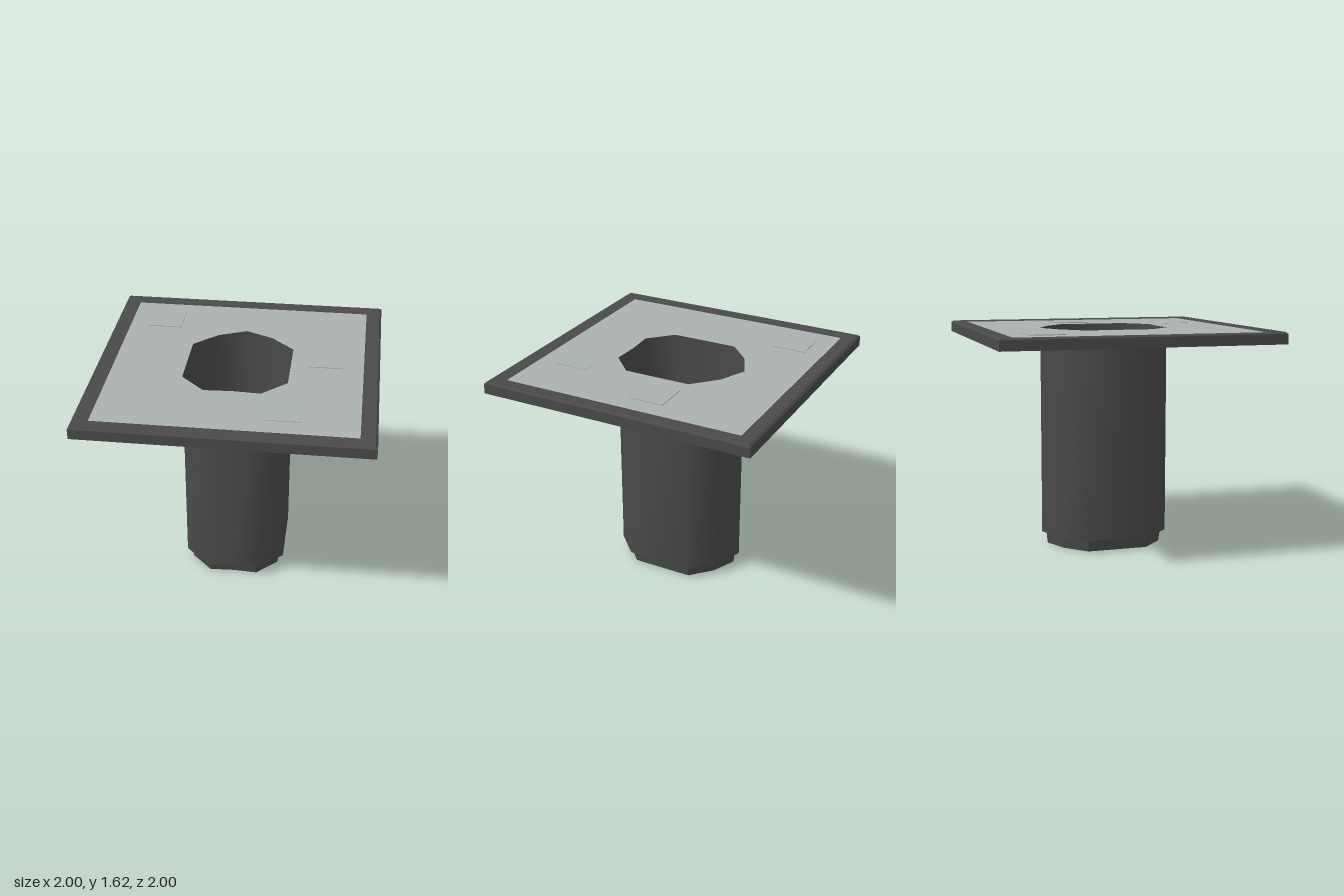
import * as THREE from 'three';
import { toCreasedNormals } from 'three/addons/utils/BufferGeometryUtils.js';

const PLATE_Y = 1.618;

// Half outline of the shaft as [x, z], from back to front
const half = [[0, -0.5], [0.2, -0.41], [0.37, -0.25], [0.37, 0.24], [0.2, 0.405]];
const mirrored = half.slice(1).reverse().map(([x, z]) => [-x, z]);
const shaftOutline = [...half, [0, 0.395], ...mirrored];
const squareOutline = [[-1, -1], [1, -1], [1, 1], [-1, 1]];

// Moves an outline towards its middle by a fixed inset
function inset(outline, d) {
  return outline.map(([x, z]) => {
    const cz = z + 0.05;
    return [x * (1 - d / 0.37), cz * (1 - d / 0.45) - 0.05];
  });
}

// Skins a list of {points, y} rings, bottom to top, without caps
function loft(rings, crease) {
  const pos = [];
  for (let r = 0; r < rings.length - 1; r++) {
    const lo = rings[r], hi = rings[r + 1], n = lo.points.length;
    for (let i = 0; i < n; i++) {
      const j = (i + 1) % n;
      const at = (ring, k) => [ring.points[k][0], ring.y, ring.points[k][1]];
      const a = at(lo, i), b = at(lo, j), c = at(hi, i), d = at(hi, j);
      pos.push(...a, ...c, ...b, ...b, ...c, ...d);
    }
  }
  const geo = new THREE.BufferGeometry();
  geo.setAttribute('position', new THREE.Float32BufferAttribute(pos, 3));
  return toCreasedNormals(geo, crease);
}

// Shallow raised square without an underside; lift gives the height at each corner
function padGeometry(size, lift) {
  const geo = new THREE.BoxGeometry(size, 1, size);
  const index = Array.from(geo.index.array);
  index.splice(18, 6);
  geo.setIndex(index);
  const p = geo.attributes.position;
  for (let i = 0; i < p.count; i++) {
    p.setY(i, p.getY(i) > 0 ? lift(p.getX(i) > 0, p.getZ(i) > 0) : 0);
  }
  const flat = geo.toNonIndexed();
  flat.computeVertexNormals();
  return flat;
}

export function createModel() {
  const model = new THREE.Group();
  const dark = new THREE.MeshStandardMaterial({ color: 0x4a4a4a, side: THREE.DoubleSide });
  dark.name = 'dark grey';
  const pale = new THREE.MeshStandardMaterial({ color: 0xaab2ae, side: THREE.DoubleSide });
  pale.name = 'pale grey green';

  const add = (name, geo, material) => {
    const mesh = new THREE.Mesh(geo, material);
    mesh.name = name;
    model.add(mesh);
    return mesh;
  };

  // Hollow shaft with smooth sides
  add('shaft', loft([
    { points: shaftOutline, y: 0.09 },
    { points: shaftOutline, y: PLATE_Y },
  ], 1.0), dark);

  // Tapered lip and the ledge joining it to the shaft
  add('lowerLip', loft([
    { points: inset(shaftOutline, 0.043), y: 0 },
    { points: inset(shaftOutline, 0.032), y: 0.085 },
    { points: shaftOutline, y: 0.09 },
  ], 0.1), dark);

  // Square frame, open underneath
  const square = (s) => squareOutline.map(([x, z]) => [x * s, z * s]);
  add('frame', loft([
    { points: square(1), y: 1.54 },
    { points: square(1), y: 1.612 },
    { points: square(0.985), y: 1.625 },
    { points: square(0.95), y: 1.623 },
    { points: square(0.887), y: PLATE_Y },
  ], 0.3), dark);

  // Pads: centre x, centre z, corner heights
  const h = 0.006;
  const even = () => h;
  const faded = (right, front) => (right && front ? h : right || front ? h / 2 : 0);
  const pads = [[-0.625, -0.625, even], [0.62, -0.125, even], [0.37, 0.62, faded]];
  const size = 0.25;

  // Top plate with holes for the shaft and the pads
  const shape = new THREE.Shape(square(0.888).map(([x, z]) => new THREE.Vector2(x, -z)));
  const cut = (points) => shape.holes.push(
    new THREE.Path(points.map(([x, z]) => new THREE.Vector2(x, -z))));
  cut(shaftOutline);
  for (const [cx, cz] of pads) {
    cut(squareOutline.map(([x, z]) => [cx + x * size / 2, cz + z * size / 2]));
  }
  const plate = add('topPlate', new THREE.ShapeGeometry(shape).rotateX(-Math.PI / 2), pale);
  plate.position.y = PLATE_Y;

  pads.forEach(([x, z, lift], i) => {
    add('raisedPad' + (i + 1), padGeometry(size, lift), pale).position.set(x, PLATE_Y, z);
  });

  return model;
}
